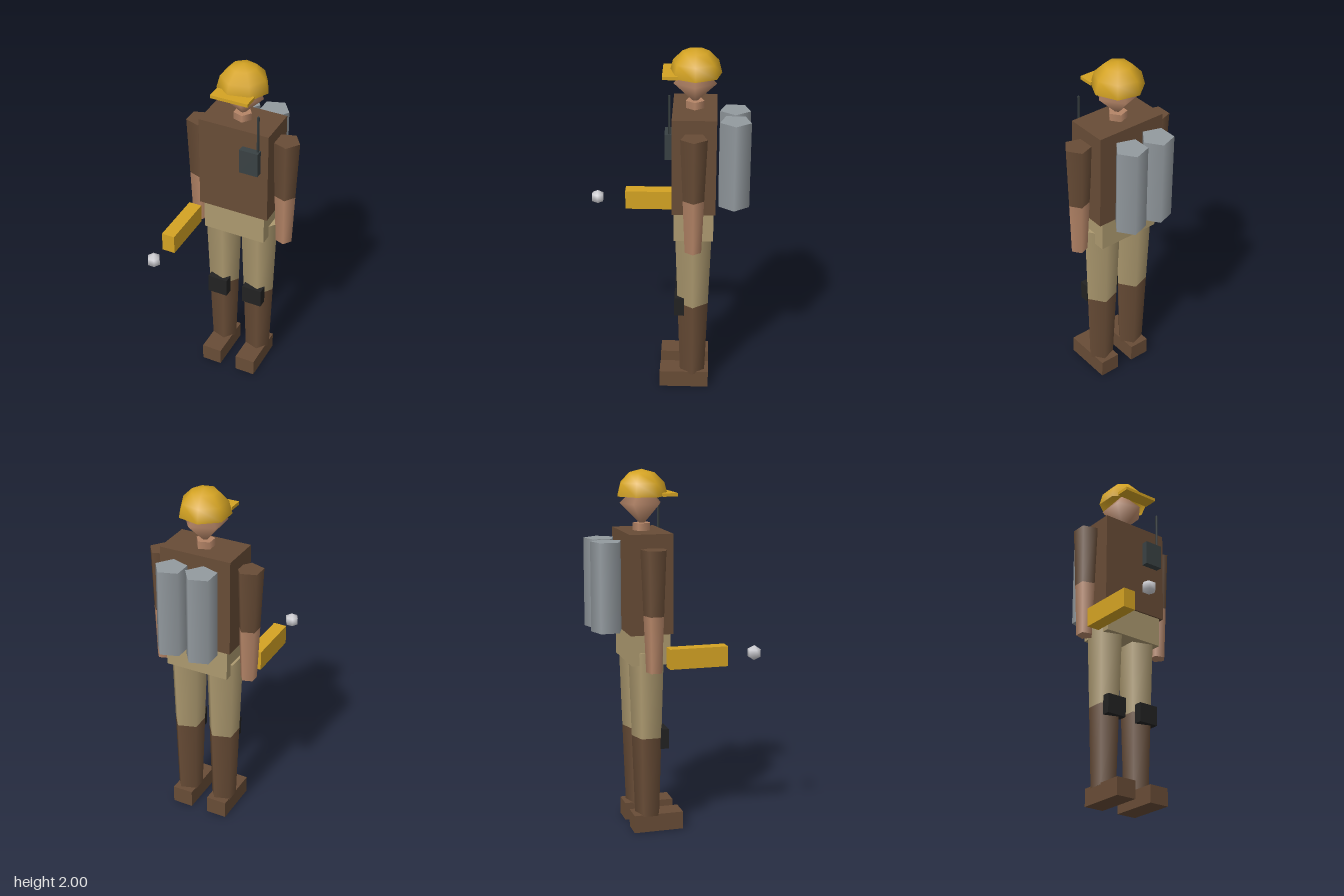
import * as THREE from 'three';

const mat = (name, color, side = THREE.FrontSide) => {
  const m = new THREE.MeshStandardMaterial({ color, side });
  m.name = name;
  return m;
};

export function createModel() {
  const brown = mat('brown cloth', 0x684c36);
  const tan = mat('tan cloth', 0xac996f);
  const skin = mat('skin', 0xb58567);
  const yellow = mat('yellow', 0xd4a323, THREE.DoubleSide);
  const steel = mat('steel grey', 0x939a9f);
  const black = mat('black rubber', 0x222222);
  const slate = mat('dark slate', 0x394143);
  const silver = mat('silver', 0xcfcfd4);

  const model = new THREE.Group();
  model.name = 'worker';
  const CX = -0.008, CZ = -0.15; // axis of the body

  const add = (name, geometry, material, x, y, z) => {
    const mesh = new THREE.Mesh(geometry, material);
    mesh.name = name;
    mesh.position.set(x, y, z);
    model.add(mesh);
    return mesh;
  };
  // Box given by its size and its centre
  const box = (name, material, w, h, d, x, y, z) =>
    add(name, new THREE.BoxGeometry(w, h, d), material, x, y, z);
  // Tapered prism standing between y0 and y1, one corner towards +x
  const prism = (name, material, r0, r1, y0, y1, x, z, sides = 5) =>
    add(name, new THREE.CylinderGeometry(r1, r0, y1 - y0, sides, 1, false, Math.PI / 2),
      material, x, (y0 + y1) / 2, z);
  // Coarse ball, one corner towards +x
  const ball = (name, material, r, w, h, theta, x, y, z) =>
    add(name, new THREE.SphereGeometry(r, w, h, Math.PI, Math.PI * 2, 0, theta), material, x, y, z);

  // Trunk and head
  box('torso', brown, 0.411, 0.542, 0.237, CX, 1.401, CZ);
  box('hips', tan, 0.367, 0.18, 0.217, CX, 1.05, CZ);
  prism('neck', skin, 0.052, 0.052, 1.64, 1.713, CX, CZ);
  ball('head', skin, 0.121, 5, 2, Math.PI, CX, 1.818, CZ);

  // Hard hat
  ball('helmet', yellow, 0.143, 7, 3, Math.PI / 2, CX + 0.002, 1.858, CZ - 0.002);
  box('helmetBrim', yellow, 0.214, 0.018, 0.084, CX, 1.867, -0.019);

  // Limbs and tanks, in pairs
  for (const s of [-1, 1]) {
    const side = s > 0 ? 'left' : 'right';
    const arm = CX + s * 0.26, leg = CX + s * 0.11;
    prism(side + 'Sleeve', brown, 0.06, 0.075, 1.246, 1.597, arm, CZ);
    prism(side + 'Forearm', skin, 0.047, 0.06, 0.938, 1.246, arm, CZ);
    prism(side + 'Thigh', tan, 0.09, 0.107, 0.545, 1.03, leg, CZ);
    prism(side + 'Shin', brown, 0.074, 0.09, 0.09, 0.545, leg, CZ);
    box(side + 'KneePad', black, 0.119, 0.111, 0.054, leg, 0.533, -0.074);
    box(side + 'Boot', brown, 0.119, 0.1, 0.28, leg, 0.05, -0.103);
    prism(side + 'BackTank', steel, 0.088, 0.088, 1.14, 1.628, CX + s * 0.087, -0.368);
  }

  // Chest radio with aerial
  box('radio', slate, 0.108, 0.143, 0.04, 0.1, 1.504, -0.012);
  prism('radioAerial', slate, 0.008, 0.008, 1.57, 1.792, 0.143, -0.018, 3);

  // Tool in the right hand and the ball in front of it
  box('handTool', yellow, 0.075, 0.11, 0.325, CX - 0.26, 1.01, 0.087);
  ball('toolTip', silver, 0.042, 6, 3, Math.PI, CX - 0.26, 1.012, 0.412);

  return model;
}
